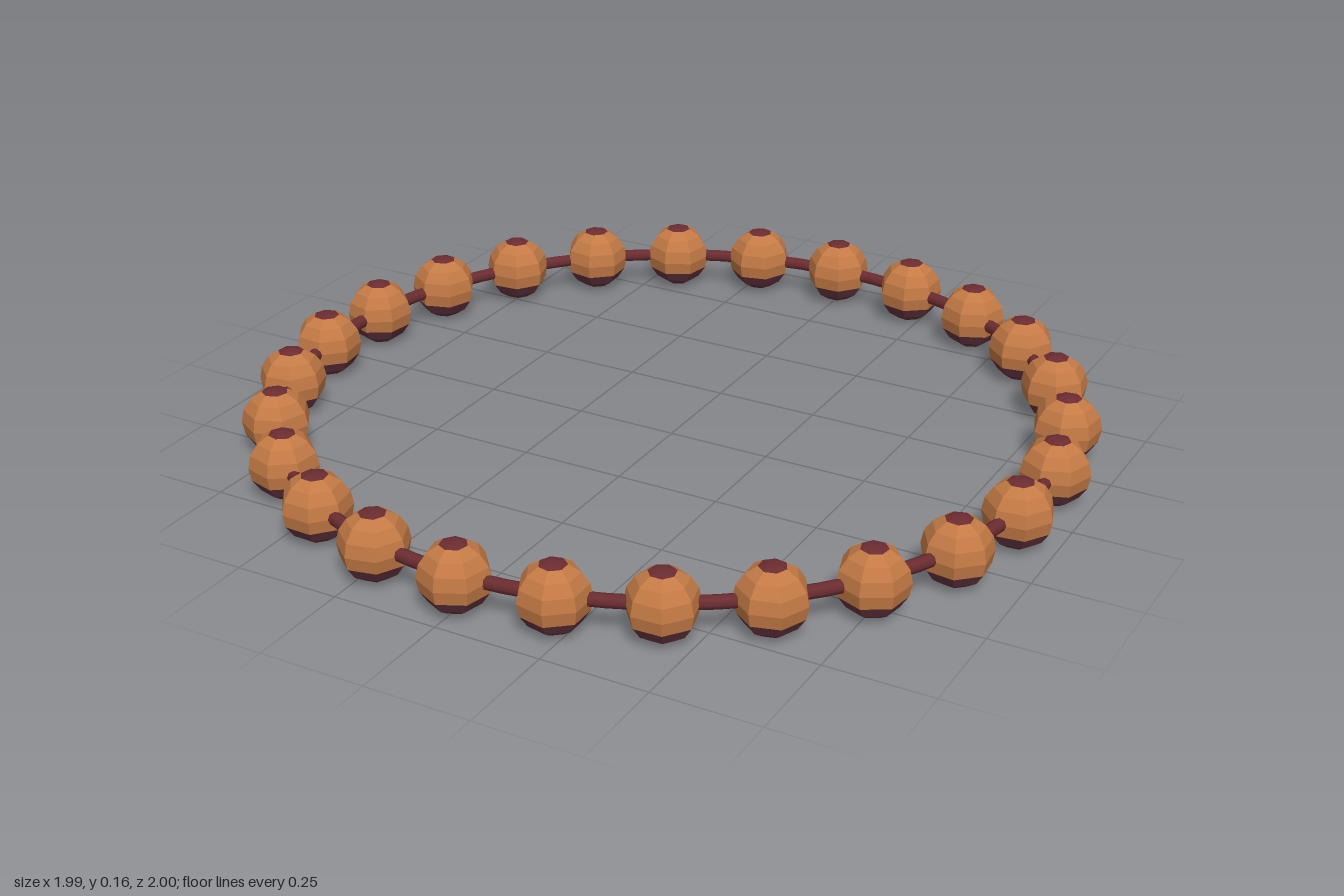
import * as THREE from 'three';
import { mergeGeometries } from 'three/addons/utils/BufferGeometryUtils.js';

const COUNT = 26;          // beads on the ring
const RING = 0.92;         // ring radius
const R = 0.081;           // bead radius
const ROW = Math.PI / 8;   // one row of bead facets

// Faceted normals without shared corners
function facet(geometry) {
  const g = geometry.index ? geometry.toNonIndexed() : geometry;
  g.computeVertexNormals();
  return g;
}

// Rows of a seven-sided bead, with one corner facing outward (+z)
function beadRows(first, rows) {
  return facet(new THREE.SphereGeometry(R, 7, rows, Math.PI / 2, Math.PI * 2, first * ROW, rows * ROW));
}

export function createModel() {
  const wood = new THREE.MeshStandardMaterial({ color: 0xc47a45 });
  const plum = new THREE.MeshStandardMaterial({ color: 0x653440 });
  const maroon = new THREE.MeshStandardMaterial({ color: 0x6b2c30 });
  wood.name = 'wood';
  plum.name = 'plum';
  maroon.name = 'maroon';

  const model = new THREE.Group();
  model.name = 'beadBracelet';

  // Cord through all beads
  const cord = new THREE.Mesh(new THREE.TorusGeometry(RING - 0.004, 0.016, 8, COUNT * 3), maroon);
  cord.name = 'cord';
  cord.rotation.x = Math.PI / 2;
  cord.position.y = R;
  model.add(cord);

  // Bead colour zones: top cap, wooden body and base, dark lower band
  const capGeometry = beadRows(0, 1);
  const bodyGeometry = mergeGeometries([beadRows(1, 4), beadRows(7, 1)]);
  const bandGeometry = beadRows(5, 2);
  const zones = [
    ['beadCap', capGeometry, maroon],
    ['beadBody', bodyGeometry, wood],
    ['beadBand', bandGeometry, plum],
  ];

  for (let i = 0; i < COUNT; i++) {
    const a = (i / COUNT) * Math.PI * 2;
    const bead = new THREE.Group();
    bead.name = 'bead';
    bead.position.set(Math.sin(a) * RING, R, Math.cos(a) * RING);
    bead.rotation.y = a;
    for (const [name, geometry, material] of zones) {
      const mesh = new THREE.Mesh(geometry, material);
      mesh.name = name;
      bead.add(mesh);
    }
    model.add(bead);
  }
  return model;
}
